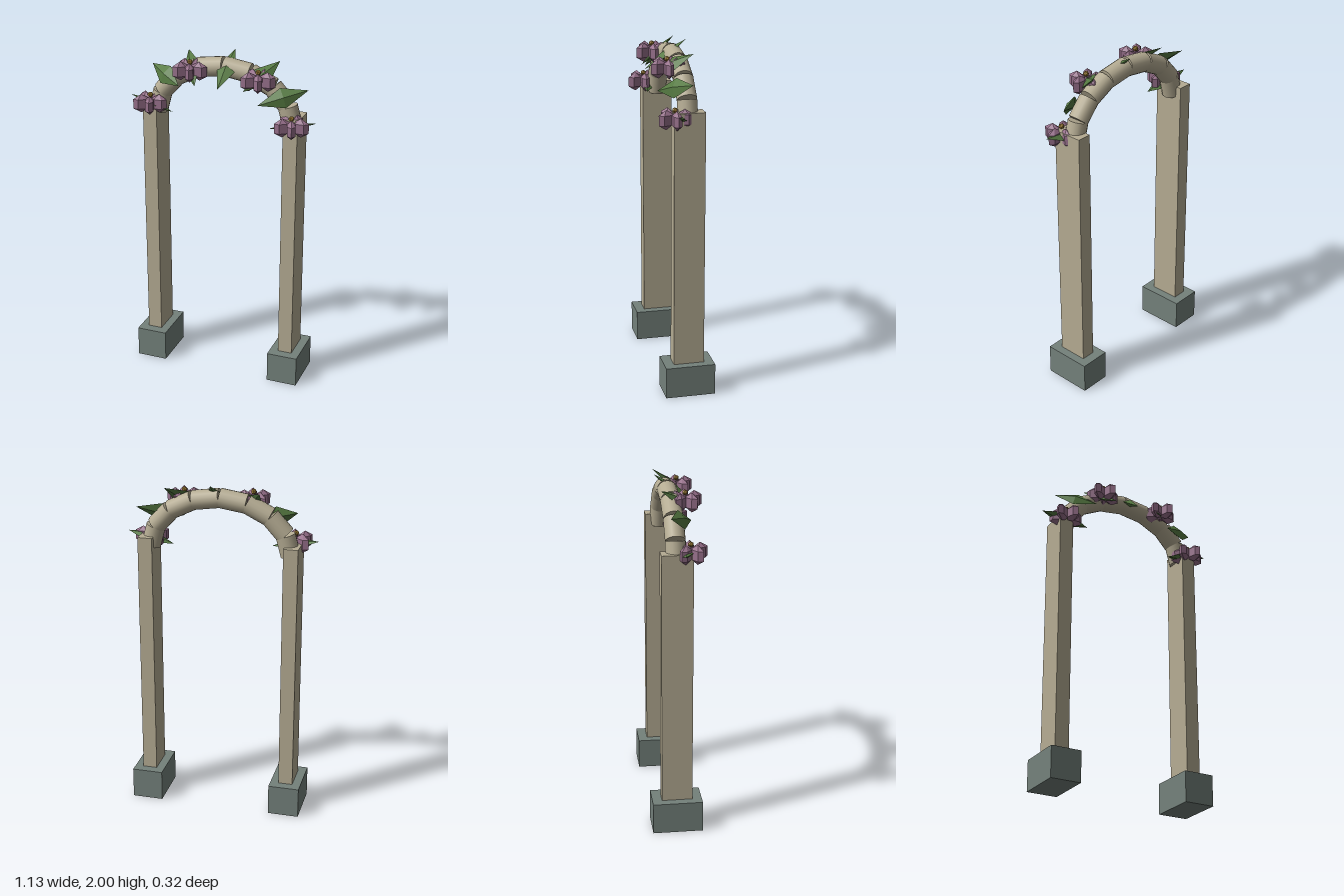
import * as THREE from 'three';

const mat = (color, flatShading = true) => new THREE.MeshStandardMaterial({ color, flatShading });

export function createModel() {
  const root = new THREE.Group();
  root.name = 'flowerArch';
  const wood = mat(0xb5ac93), woodSmooth = mat(0xb5ac93, false), stone = mat(0x74817b);
  const pink = mat(0x966f8a), green = mat(0x567a42), yellow = mat(0xa8873a);

  const add = (parent, name, geometry, material, x = 0, y = 0, z = 0) => {
    const mesh = new THREE.Mesh(geometry, material);
    mesh.name = name;
    mesh.position.set(x, y, z);
    parent.add(mesh);
    return mesh;
  };

  // Stone footings and square posts
  for (const [side, x] of [['right', -0.432], ['left', 0.423]]) {
    add(root, side + 'Footing', new THREE.BoxGeometry(0.184, 0.185, 0.29), stone, x, 0.0925, -0.02);
    add(root, side + 'Post', new THREE.BoxGeometry(0.085, 1.665, 0.178), wood, x, 0.8375, -0.02);
  }

  // Arch of straight round logs laid end to end, leaving wedge gaps outside
  const arch = new THREE.Group();
  arch.name = 'arch';
  root.add(arch);
  const logs = 8;
  const archPoint = (i) => {
    const a = Math.PI * (1 - i / logs);
    return new THREE.Vector3(-0.003 + 0.412 * Math.cos(a), 1.61 + 0.305 * Math.sin(a), -0.022);
  };
  const up = new THREE.Vector3(0, 1, 0);
  for (let i = 0; i < logs; i++) {
    const a = archPoint(i), b = archPoint(i + 1);
    const dir = b.clone().sub(a);
    const log = add(arch, 'archLog', new THREE.CylinderGeometry(0.057, 0.057, dir.length(), 16), woodSmooth);
    log.position.copy(a).add(b).multiplyScalar(0.5);
    log.quaternion.setFromUnitVectors(up, dir.normalize());
  }

  // Blossoms: five plump petals round a small centre
  const petalGeo = new THREE.SphereGeometry(1, 6, 3).scale(0.054, 0.056, 0.031).translate(0.055, 0, 0);
  const centreGeo = new THREE.IcosahedronGeometry(0.017, 0);
  const blossoms = [[-0.43, 1.67], [-0.18, 1.895], [0.228, 1.88], [0.427, 1.635]];
  for (const [x, y] of blossoms) {
    const flower = new THREE.Group();
    flower.name = 'blossom';
    flower.position.set(x, y, 0.057);
    for (let i = 0; i < 5; i++) {
      add(flower, 'petal', petalGeo, pink).rotation.y = -i * Math.PI * 2 / 5;
    }
    add(flower, 'blossomCentre', centreGeo, yellow, 0, 0.048, 0);
    root.add(flower);
  }

  // Leaves: flattened diamonds given by two tips and a width direction
  const leaves = [
    [[-0.57, 1.69, 0.015], [-0.29, 1.63, 0.06], [0, 0.3, 1]],
    [[-0.46, 1.87, -0.055], [-0.24, 1.8, 0.085], [0.8, 0.6, 0]],
    [[-0.245, 1.97, -0.085], [-0.125, 1.83, 0.13], [0.9, 0.4, 0]],
    [[0.035, 2.0, -0.098], [0.018, 1.83, 0.143], [1, 0, 0]],
    [[0.31, 1.965, -0.075], [0.165, 1.83, 0.13], [0.9, -0.4, 0]],
    [[0.495, 1.83, -0.03], [0.245, 1.755, 0.115], [0.7, -0.7, 0]],
    [[0.565, 1.665, 0.035], [0.29, 1.6, 0.04], [0, 0.3, 1]],
  ];
  for (const [tipA, tipB, across] of leaves) {
    const a = new THREE.Vector3(...tipA), b = new THREE.Vector3(...tipB);
    const along = b.clone().sub(a);
    const length = along.length();
    along.normalize();
    const normal = new THREE.Vector3(...across).cross(along).normalize();
    const width = along.clone().cross(normal);
    const leaf = add(root, 'leaf', new THREE.OctahedronGeometry(1, 0).scale(0.058, length / 2, 0.022), green);
    leaf.quaternion.setFromRotationMatrix(new THREE.Matrix4().makeBasis(width, along, width.clone().cross(along)));
    leaf.position.copy(a).add(b).multiplyScalar(0.5);
  }
  return root;
}
